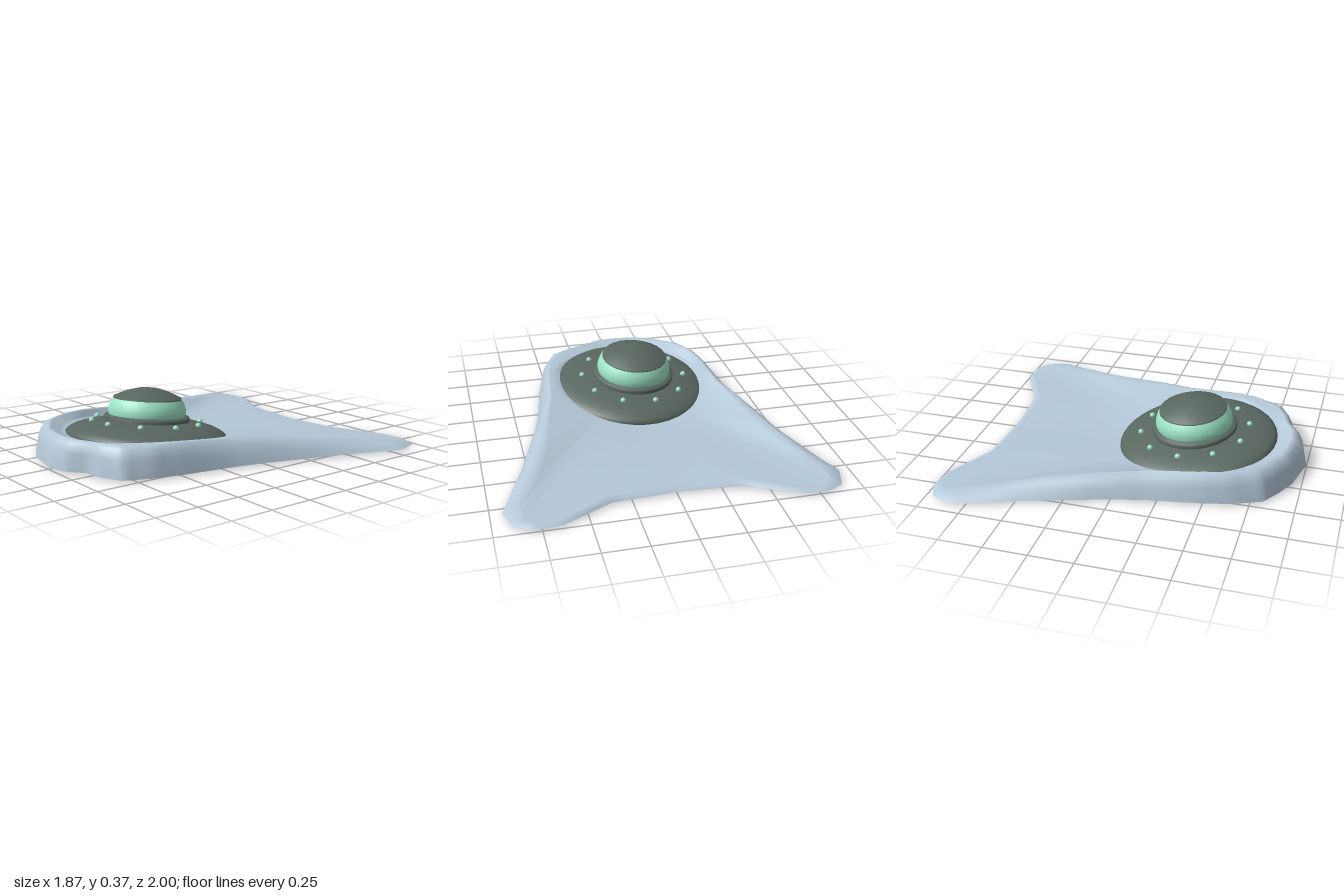
import * as THREE from 'three';

const hull = new THREE.MeshStandardMaterial({ color: 0xb4c8d8, side: THREE.DoubleSide });
hull.name = 'paleBlueHull';
const dark = new THREE.MeshStandardMaterial({ color: 0x59675f });
dark.name = 'darkGreenMetal';
const mint = new THREE.MeshStandardMaterial({ color: 0x9ce4c4 });
mint.name = 'mintGlow';

// Saucer placement, size and tilt
const CZ = 0.35, CY = 0.096, RIM = 0.47, BELLY = 0.08, CROWN = 0.1, TILT_X = 0.1, TILT_Z = 0.05;
const rimPlane = (x, z) => CY + TILT_X * (z - CZ) + TILT_Z * x;

// Height of the shell's ridge: falls toward the tail and the wing tips
const RIDGE = [[-1, 0.022], [-0.7, 0.06], [-0.4, 0.1], [0, 0.14], [0.5, 0.175], [1, 0.178]];
function ridgeHeight(x, z) {
  const i = Math.max(1, RIDGE.findIndex(([rz]) => z <= rz));
  const [z0, y0] = RIDGE[i - 1], [z1, y1] = RIDGE[i];
  const y = Math.min(y0 + (y1 - y0) * (z - z0) / (z1 - z0), 0.178 - 0.41 * (Math.abs(x) - 0.5));
  return z < -0.7 ? y * Math.min(1, 0.6 + 0.5 * Math.abs(x)) : y;
}

// Half outline, nose to tail: skirt x, z and ridge x, z
const HALF = [
  [0, 1, 0, 0.91], [0.12, 0.97, 0.11, 0.9], [0.22, 0.89, 0.2, 0.85], [0.32, 0.88, 0.29, 0.82],
  [0.45, 0.82, 0.39, 0.76], [0.52, 0.66, 0.47, 0.62], [0.56, 0.5, 0.5, 0.46], [0.61, 0.2, 0.53, 0.18],
  [0.66, 0, 0.58, 0], [0.785, -0.4, 0.68, -0.4], [0.935, -0.81, 0.82, -0.79], [0.89, -0.95, 0.83, -0.91],
  [0.79, -1, 0.77, -0.96], [0.65, -0.99, 0.65, -0.95], [0.36, -0.84, 0.36, -0.8], [0, -0.82, 0, -0.78],
];

function fullOutline() {
  const other = HALF.slice(1, -1).map(([a, b, c, d]) => [-a, b, -c, d]);
  other[1] = [-0.22, 0.95, -0.2, 0.88]; // the nose is uneven on this side
  other[2] = [-0.34, 0.89, -0.3, 0.82];
  const corners = [...HALF, ...other.reverse()];
  const out = [];
  corners.forEach((p, i) => {
    const q = corners[(i + 1) % corners.length];
    for (let k = 0; k < 4; k++) out.push(p.map((v, j) => v + (q[j] - v) * k / 4));
  });
  return out;
}

// Sagging sheet around and under the saucer, at radius r from its axis
function seatHeight(x, z, r) {
  if (r > 0.4) return Math.min(ridgeHeight(x, z), rimPlane(x, z) + 0.035 * (x / 0.44) ** 2);
  const front = THREE.MathUtils.clamp((z + 0.3 * x - 0.56) / 0.06, 0, 1);
  return rimPlane(x, z) - front * (0.006 + BELLY * Math.sqrt(1 - (r / RIM) ** 2));
}

// Open shell: skirt rings, sagging roof rings, then the seat
function shellGeometry() {
  const outline = fullOutline(), n = outline.length, pos = [], index = [];
  let rings = 0;
  const ring = (fn) => { outline.forEach((p) => pos.push(...fn(p))); rings++; };
  const atRadius = (p, r) => {
    const dx = p[2], dz = p[3] - CZ, l = Math.hypot(dx, dz);
    return [dx / l * r, CZ + dz / l * r];
  };
  const low = 0.011;
  for (const [t, steep, soft] of [[0, 0, 0], [0.25, 0.6, 0.42], [0.6, 0.9, 0.78], [1, 1, 1]]) {
    ring(([ox, oz, sx, sz]) => {
      const h = soft + (steep - soft) * THREE.MathUtils.smoothstep(sz, 0, 0.7);
      return [ox + (sx - ox) * t, low + (ridgeHeight(sx, sz) - low) * h, oz + (sz - oz) * t];
    });
  }
  for (let k = 1; k <= 6; k++) {
    ring((p) => {
      const [ex, ez] = atRadius(p, 0.478), t = k / 6;
      const y0 = ridgeHeight(p[2], p[3]), y1 = seatHeight(ex, ez, 0.478);
      return [p[2] + (ex - p[2]) * t, y0 + (y1 - y0) * t, p[3] + (ez - p[3]) * t];
    });
  }
  for (const r of [0.44, 0.36, 0.27, 0.15, 0.01]) {
    ring((p) => {
      const [x, z] = atRadius(p, r);
      return [x, seatHeight(x, z, r), z];
    });
  }
  for (let r = 0; r < rings - 1; r++) {
    for (let i = 0; i < n; i++) {
      const a = r * n + i, b = r * n + (i + 1) % n;
      index.push(a, b, a + n, b, b + n, a + n);
    }
  }
  const g = new THREE.BufferGeometry();
  g.setAttribute('position', new THREE.Float32BufferAttribute(pos, 3));
  g.setIndex(index);
  g.computeVertexNormals();
  return g;
}

function add(parent, name, geometry, material) {
  const m = new THREE.Mesh(geometry, material);
  m.name = name;
  parent.add(m);
  return m;
}
const lathe = (pts, sides = 40) =>
  new THREE.LatheGeometry(pts.map(([x, y]) => new THREE.Vector2(x, y)), sides);

export function createModel() {
  const model = new THREE.Group();
  model.name = 'saucerCraft';
  add(model, 'wingShell', shellGeometry(), hull);

  const saucer = new THREE.Group();
  saucer.name = 'saucer';
  saucer.position.set(0, CY, CZ);
  saucer.rotation.set(-TILT_X, 0, TILT_Z);
  model.add(saucer);

  // Lens-shaped dish
  const lens = [];
  for (let i = 0; i <= 28; i++) {
    const a = (i / 28 - 0.5) * Math.PI;
    lens.push([RIM * Math.cos(a), (a < 0 ? BELLY : CROWN) * Math.sin(a)]);
  }
  add(saucer, 'dish', lathe(lens), dark);

  // Turret: collar, glowing band, cap and ring of lights
  const turret = new THREE.Group();
  turret.name = 'turret';
  turret.position.set(-0.015, 0, -0.01);
  saucer.add(turret);
  add(turret, 'collar', lathe([[0.25, 0.075], [0.252, 0.098], [0.245, 0.11], [0.215, 0.116]]), dark);
  add(turret, 'glowBand', lathe([[0.222, 0.11], [0.227, 0.13], [0.225, 0.155], [0.214, 0.188], [0.192, 0.215]]), mint);
  add(turret, 'capUnderside', lathe([[0, 0.208], [0.2, 0.208]], 24), dark);
  add(turret, 'capDome', lathe([[0.2, 0.208], [0.198, 0.218], [0.13, 0.248], [0.06, 0.267], [0, 0.271]], 24), dark);

  const bulb = new THREE.SphereGeometry(0.017, 12, 8);
  for (let i = 0; i < 10; i++) {
    const a = 0.09 + i * Math.PI / 5;
    add(turret, 'light', bulb, mint).position.set(0.322 * Math.cos(a), 0.078, 0.322 * Math.sin(a));
  }
  return model;
}
